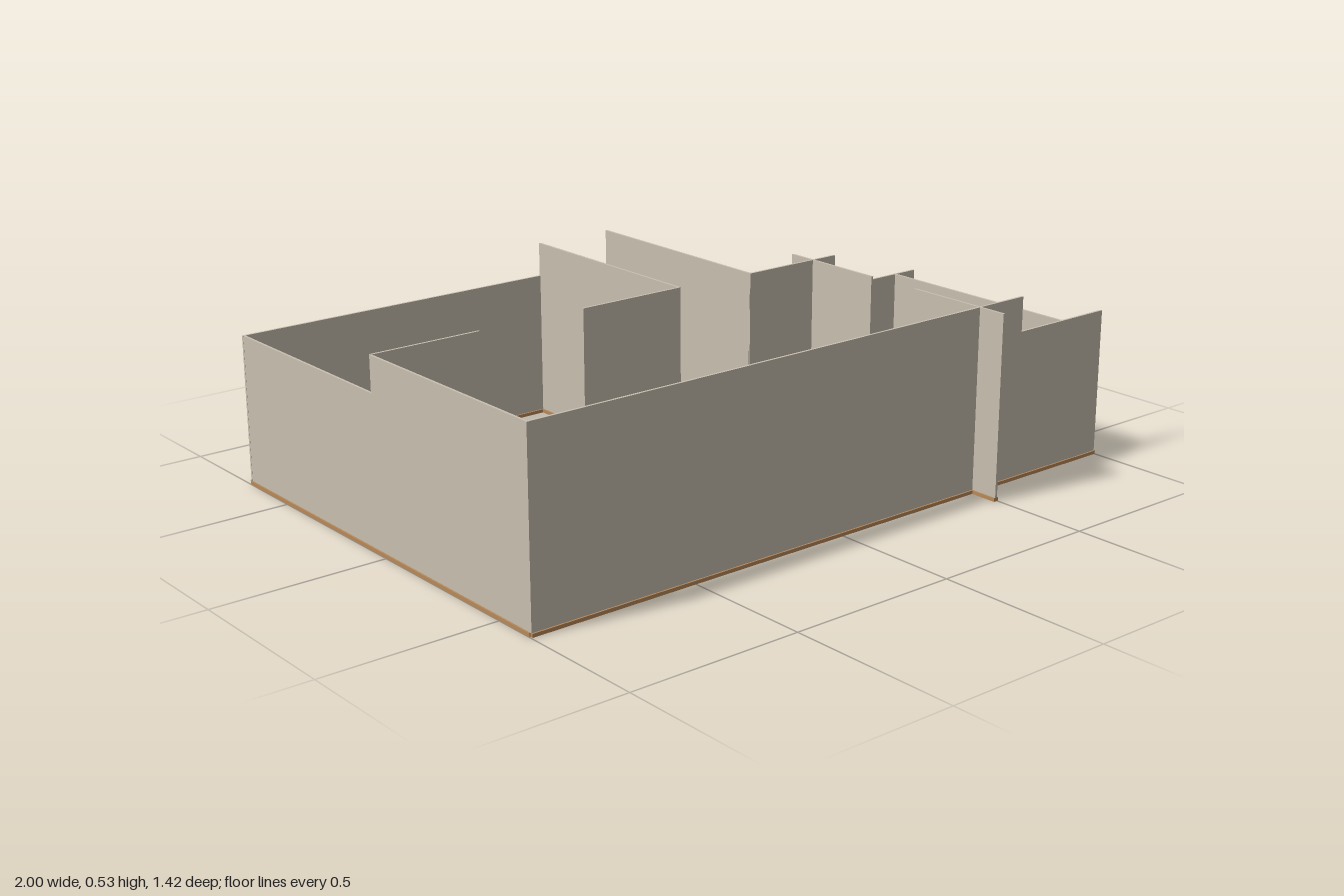
import * as THREE from 'three';

const HIGH = 0.53, LOW = 0.43;          // wall heights
const WALL = 0.007, BASE = 0.016;       // thicknesses
const BASE_H = 0.01;

export function createModel() {
  const model = new THREE.Group();
  model.name = 'floorPlanWalls';
  const plaster = new THREE.MeshStandardMaterial({ color: 0xc8bfb0 });
  plaster.name = 'plaster';
  const wood = new THREE.MeshStandardMaterial({ color: 0xb8895a });
  wood.name = 'wood';

  const box = (name, material, along, from, to, at, y0, y1, thick) => {
    const len = to - from, mid = (from + to) / 2;
    const onX = along === 'x';
    const mesh = new THREE.Mesh(
      new THREE.BoxGeometry(onX ? len : thick, y1 - y0, onX ? thick : len), material);
    mesh.position.set(onX ? mid : at, (y0 + y1) / 2, onX ? at : mid);
    mesh.name = name;
    return mesh;
  };

  // A wall panel standing on its wooden floor rail
  const wall = (name, along, from, to, at, height = HIGH) => {
    const group = new THREE.Group();
    group.name = name;
    group.add(box('panel', plaster, along, from, to, at, BASE_H, height, WALL));
    group.add(box('floorRail', wood, along, from, to, at, 0, BASE_H, BASE));
    model.add(group);
  };

  // Outer walls, with lower sections at the back room and the porch
  wall('frontWall', 'x', -0.996, 0.663, 0.622);
  wall('frontWallLow', 'x', 0.663, 1.0, 0.622, LOW);
  wall('sideWall', 'z', -0.042, 0.622, -0.992);
  wall('sideWallLow', 'z', -0.702, -0.042, -0.992, LOW);
  wall('backWall', 'x', -0.996, 0.003, -0.702, LOW);

  // Back room: side wall and two stubs beside the doorway
  wall('backRoomWall', 'z', -0.702, -0.045, 0.003);
  wall('backRoomStubA', 'x', -0.992, -0.664, -0.047);
  wall('backRoomStubB', 'x', -0.331, 0.003, -0.047);

  // Corridor wall and the wall behind the porch
  wall('corridorWall', 'z', -0.702, -0.035, 0.254);
  wall('middleWall', 'x', 0.251, 0.58, -0.035);
  wall('middleWallLow', 'x', 0.58, 0.912, -0.035, LOW);

  // Partition halves beside the entrance, and the porch end
  wall('partitionBack', 'z', -0.12, 0.211, 0.495);
  wall('partitionFront', 'z', 0.38, 0.71, 0.495);
  wall('porchWall', 'z', -0.035, 0.622, 0.834, LOW);

  return model;
}
